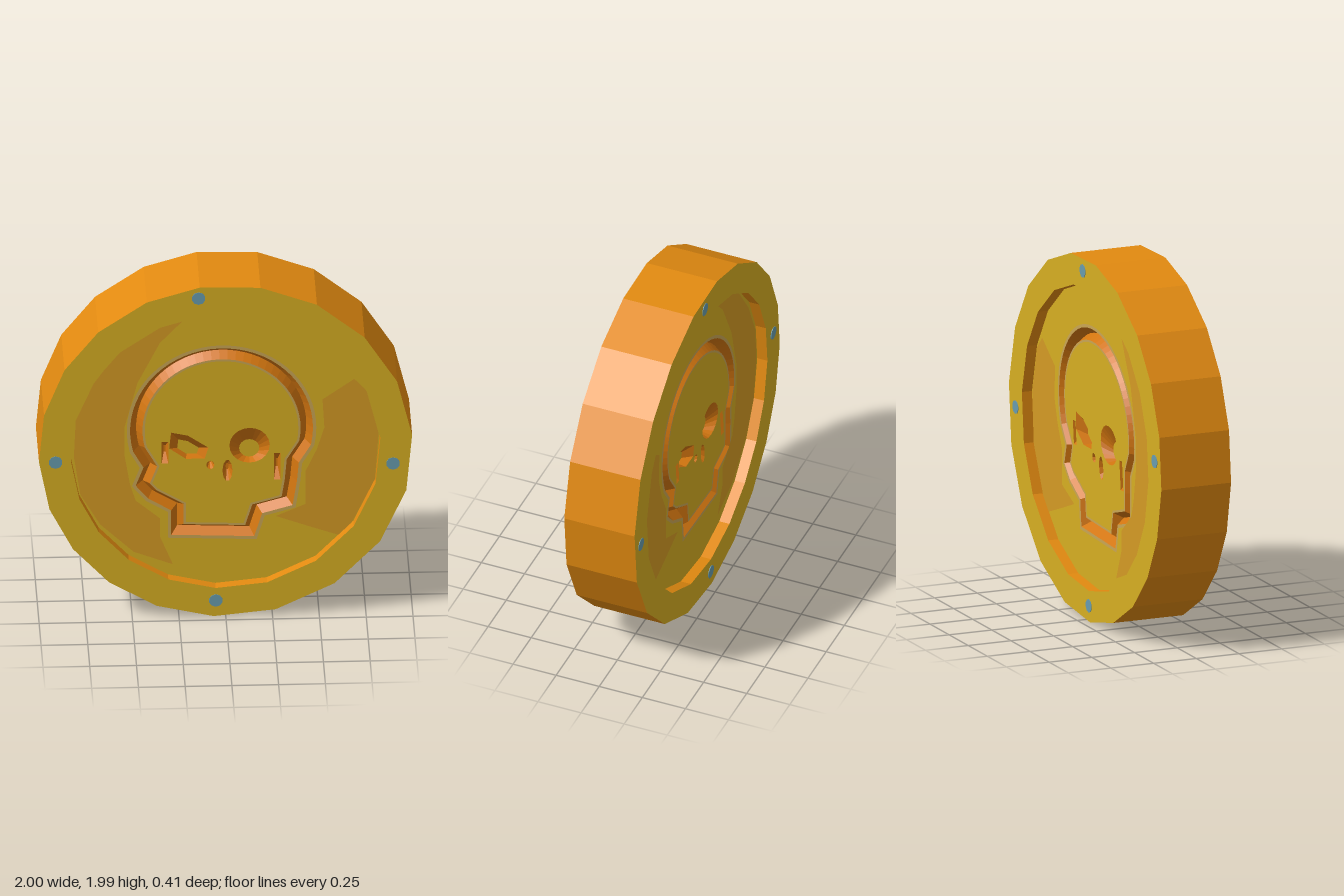
import * as THREE from 'three';

const mat = (name, color, side = THREE.FrontSide) => {
  const m = new THREE.MeshStandardMaterial({ color, side });
  m.name = name;
  return m;
};
const HALF = 0.204, FLOOR = 0.145, DEPTH = 0.05;

// Hand-cut coin outline: corner directions in degrees
const ANGLES = [4.3, 23.6, 42, 60.8, 79.3, 98, 115, 133, 149.6, 166.4,
  182.8, 199.5, 215.2, 231.3, 248.3, 266.3, 285.5, 305.6, 325.6, 345];
const rim = (r) => ANGLES.map((a) => {
  const t = THREE.MathUtils.degToRad(a);
  return new THREE.Vector2(r * Math.cos(t), 1 + r * Math.sin(t));
});
const toV = (list) => list.map(([x, y]) => new THREE.Vector2(x, y));

// Move every corner of a counter-clockwise loop outward by d
function offset(pts, d) {
  const n = pts.length;
  return pts.map((p, i) => {
    const a = p.clone().sub(pts[(i + n - 1) % n]).normalize();
    const b = pts[(i + 1) % n].clone().sub(p).normalize();
    const na = new THREE.Vector2(a.y, -a.x), nb = new THREE.Vector2(b.y, -b.x);
    const m = na.clone().add(nb).normalize();
    return p.clone().addScaledVector(m, d / Math.max(0.65, m.dot(na)));
  });
}

// Faceted band between an outer loop at height za and an inner loop at zb
function band(A, za, B, zb) {
  const pos = [], n = A.length;
  for (let i = 0; i < n; i++) {
    const j = (i + 1) % n;
    for (const [p, z] of [[A[i], za], [A[j], za], [B[j], zb], [A[i], za], [B[j], zb], [B[i], zb]]) pos.push(p.x, p.y, z);
  }
  const g = new THREE.BufferGeometry();
  g.setAttribute('position', new THREE.Float32BufferAttribute(pos, 3));
  g.computeVertexNormals();
  return g;
}

function plate(pts, holes = []) {
  const s = new THREE.Shape(pts);
  holes.forEach((h) => s.holes.push(new THREE.Path(h)));
  return new THREE.ShapeGeometry(s);
}

// Skull outline: round cranium, then cheeks and jaw
function skullOutline() {
  const pts = [];
  for (let i = 0; i <= 36; i++) {
    const t = THREE.MathUtils.degToRad(-11.6 + (206 * i) / 36);
    pts.push([-0.02 + 0.455 * Math.cos(t), 1.1 + 0.455 * Math.sin(t)]);
  }
  return toV([...pts, [-0.40, 0.88], [-0.44, 0.775], [-0.39, 0.715], [-0.255, 0.635], [-0.255, 0.50],
    [0.13, 0.485], [0.17, 0.615], [0.33, 0.66], [0.35, 0.785], [0.36, 0.90]]);
}

function ellipse(cx, cy, rx, ry, n) {
  return Array.from({ length: n }, (_, i) => {
    const t = (i / n) * Math.PI * 2;
    return [cx + rx * Math.cos(t), cy + ry * Math.sin(t)];
  });
}

// Sunken features: outline, floor scale, downward shift of floor
const PITS = [
  ['slantedEye', [[-0.30, 0.99], [-0.21, 0.925], [-0.11, 0.925], [-0.09, 0.99], [-0.20, 1.065], [-0.29, 1.085]], 0.55, 0.028],
  ['roundEye', ellipse(0.13, 1.0, 0.108, 0.105, 20), 0.5, 0.042],
  ['noseHole', ellipse(-0.08, 0.885, 0.022, 0.026, 8), 0.3, 0],
  ['noseSlit', ellipse(0.012, 0.85, 0.027, 0.065, 10), 0.3, 0],
  ['temple', [[-0.34, 0.90], [-0.305, 0.90], [-0.305, 1.03], [-0.34, 1.03]], 0.3, 0],
  ['temple', [[0.26, 0.79], [0.295, 0.79], [0.295, 0.95], [0.26, 0.95]], 0.3, 0],
];

// Darker worn areas on the recessed field
const WORN = [
  [[-0.20, 1.79], [-0.35, 1.63], [-0.47, 1.39], [-0.54, 1.12], [-0.54, 0.96], [-0.51, 0.78], [-0.48, 0.68],
    [-0.35, 0.57], [-0.35, 0.46], [-0.28, 0.29], [-0.49, 0.37], [-0.67, 0.54], [-0.775, 0.72], [-0.81, 0.95],
    [-0.80, 1.17], [-0.705, 1.39], [-0.56, 1.60], [-0.36, 1.745]],
  [[0.69, 1.39], [0.52, 1.27], [0.53, 1.10], [0.49, 0.97], [0.43, 0.84], [0.43, 0.64], [0.27, 0.57],
    [0.46, 0.50], [0.63, 0.44], [0.68, 0.53], [0.80, 0.78], [0.82, 1.06], [0.755, 1.32]],
];

export function createModel() {
  const gold = mat('gold', 0xd6ae22);
  const amber = mat('amber edge', 0xe28a10);
  const worn = mat('worn gold', 0xd49a24);
  const groove = mat('groove orange', 0xd2750f);
  const halo = mat('pale tan', 0xcaa654);
  const blue = mat('rivet blue', 0x689cae);
  const root = new THREE.Group();
  root.name = 'coin';
  const add = (parent, name, geo, m) => {
    const mesh = new THREE.Mesh(geo, m);
    mesh.name = name;
    parent.add(mesh);
    return mesh;
  };

  // Thick raised ring
  const ring = new THREE.Shape(rim(1));
  ring.holes.push(new THREE.Path(rim(0.83)));
  const ringGeo = new THREE.ExtrudeGeometry(ring, { depth: HALF * 2, bevelEnabled: false });
  ringGeo.translate(0, 0, -HALF);
  add(root, 'rim', ringGeo, [gold, amber]);

  // Each side: recessed field, engraved skull and rivets
  function buildFace(name, back, rivets) {
    const face = new THREE.Group();
    face.name = name;
    const flip = (pts) => (back ? pts.map((p) => new THREE.Vector2(-p.x, p.y)) : pts);
    const lean = (pts) => (back ? pts.map((p) => new THREE.Vector2(p.x + 0.04 + 0.11 * (1.1 - p.y), p.y)) : pts);

    const mid = lean(skullOutline());
    const [o2, o1, i1, i2] = [0.052, 0.034, -0.032, -0.044].map((d) => offset(mid, d));
    add(face, 'field', plate(flip(rim(0.832)), [o2]), gold).position.z = FLOOR;
    add(face, 'outerLip', band(o2, FLOOR, o1, FLOOR), halo);
    add(face, 'grooveOuterWall', band(o1, FLOOR, mid, FLOOR - DEPTH), groove);
    add(face, 'grooveInnerWall', band(mid, FLOOR - DEPTH, i1, FLOOR), groove);
    add(face, 'innerLip', band(i1, FLOOR, i2, FLOOR), halo);

    const holes = [];
    for (const [pitName, list, scale, drop] of PITS) {
      const pts = lean(toV(list));
      const c = pts.reduce((s, p) => s.add(p), new THREE.Vector2()).divideScalar(pts.length);
      const low = pts.map((p) => p.clone().sub(c).multiplyScalar(scale).add(c).add(new THREE.Vector2(0, -drop)));
      holes.push(pts);
      add(face, pitName + 'Wall', band(pts, FLOOR, low, FLOOR - DEPTH), groove);
      add(face, pitName + 'Floor', plate(low), drop ? gold : groove).position.z = FLOOR - DEPTH;
    }
    add(face, 'skull', plate(i2, holes), gold).position.z = FLOOR;
    WORN.forEach((w) => { add(face, 'wornPatch', plate(flip(toV(w))), worn).position.z = FLOOR + 0.002; });

    for (const [x, y] of rivets) {
      const g = new THREE.CylinderGeometry(0.037, 0.037, 0.004, 10).rotateX(Math.PI / 2);
      add(face, 'rivet', g, blue).position.set(x, y, HALF + 0.001);
    }
    if (back) face.rotation.y = Math.PI;
    root.add(face);
  }
  buildFace('frontFace', false, [[-0.145, 1.925], [-0.91, 0.95], [0.895, 0.905], [-0.053, 0.097]]);
  buildFace('backFace', true, [[-0.03, 1.92], [-0.91, 0.96], [0.91, 1.09], [0.05, 0.09]]);
  return root;
}
